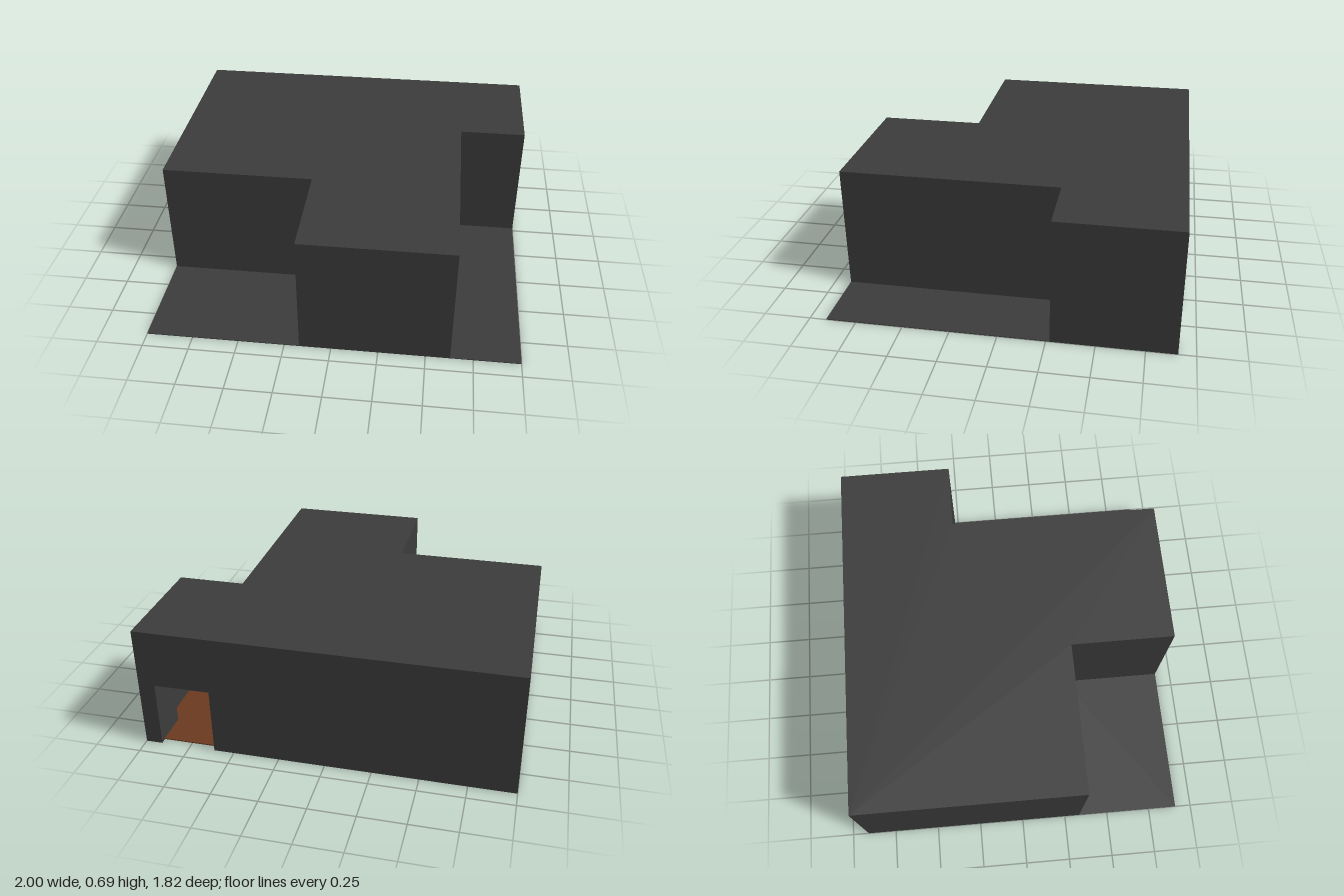
import * as THREE from 'three';

const H = 0.685, T = 0.035, ROOF = 0.02, B = 0.91;

// Footprint of the building as [x, z], shrunk inward by d
const footprint = (d) => [
  [-1 + d, -B + d], [-1 + d, 0.335 - d], [-0.17 + d, 0.335 - d], [-0.17 + d, B - d],
  [0.63 - d, B - d], [0.63 - d, -0.27 - d], [1 - d, -0.27 - d], [1 - d, -B + d],
];

const toShape = (pts) => new THREE.Shape(pts.map(([x, z]) => new THREE.Vector2(x, -z)));

// Plan outline raised from y to y + h
function slab(pts, y, h) {
  const geo = new THREE.ExtrudeGeometry(toShape(pts), { depth: h, bevelEnabled: false });
  return geo.rotateX(-Math.PI / 2).translate(0, y, 0);
}

export function createModel() {
  const group = new THREE.Group();
  const charcoal = new THREE.MeshStandardMaterial({ color: 0x3c3c3c, side: THREE.DoubleSide });
  charcoal.name = 'charcoal';
  const brown = new THREE.MeshStandardMaterial({ color: 0x6b3a1f, side: THREE.DoubleSide });
  brown.name = 'brown';

  const add = (name, geo, mat) => {
    const mesh = new THREE.Mesh(geo, mat);
    mesh.name = name;
    group.add(mesh);
    return mesh;
  };

  // Side and front walls: a ring left open at the back
  const outer = footprint(0), inner = footprint(T);
  outer[0][1] = outer[7][1] = inner[0][1] = inner[7][1] = -B + T;
  add('outerWalls', slab([...outer, ...inner.reverse()], 0, H - ROOF), charcoal);

  // Back wall with the doorway cut up from the ground
  const back = new THREE.Shape([
    [-1, 0], [0.61, 0], [0.61, 0.37], [0.91, 0.37], [0.91, 0], [1, 0], [1, H - ROOF], [-1, H - ROOF],
  ].map(([x, y]) => new THREE.Vector2(x, y)));
  add('backWall', new THREE.ExtrudeGeometry(back, { depth: T, bevelEnabled: false }).translate(0, 0, -B), charcoal);

  // Roof and floor
  add('roof', slab(footprint(0), H - ROOF, ROOF), charcoal);
  add('floor', slab(footprint(T), 0, 0.006), brown);

  // Open door leaf standing inside the doorway
  add('doorLeaf', new THREE.BoxGeometry(0.02, 0.36, 0.18).translate(0.92, 0.186, -0.785), charcoal);

  // Thin ground panels filling the two front corners
  for (const [name, x0, x1, z0] of [['rightTerrace', -1, -0.17, 0.335], ['leftTerrace', 0.63, 1, -0.27]]) {
    const geo = new THREE.BoxGeometry(x1 - x0, 0.004, B - z0);
    add(name, geo.translate((x0 + x1) / 2, 0.002, (z0 + B) / 2), charcoal);
  }
  return group;
}
